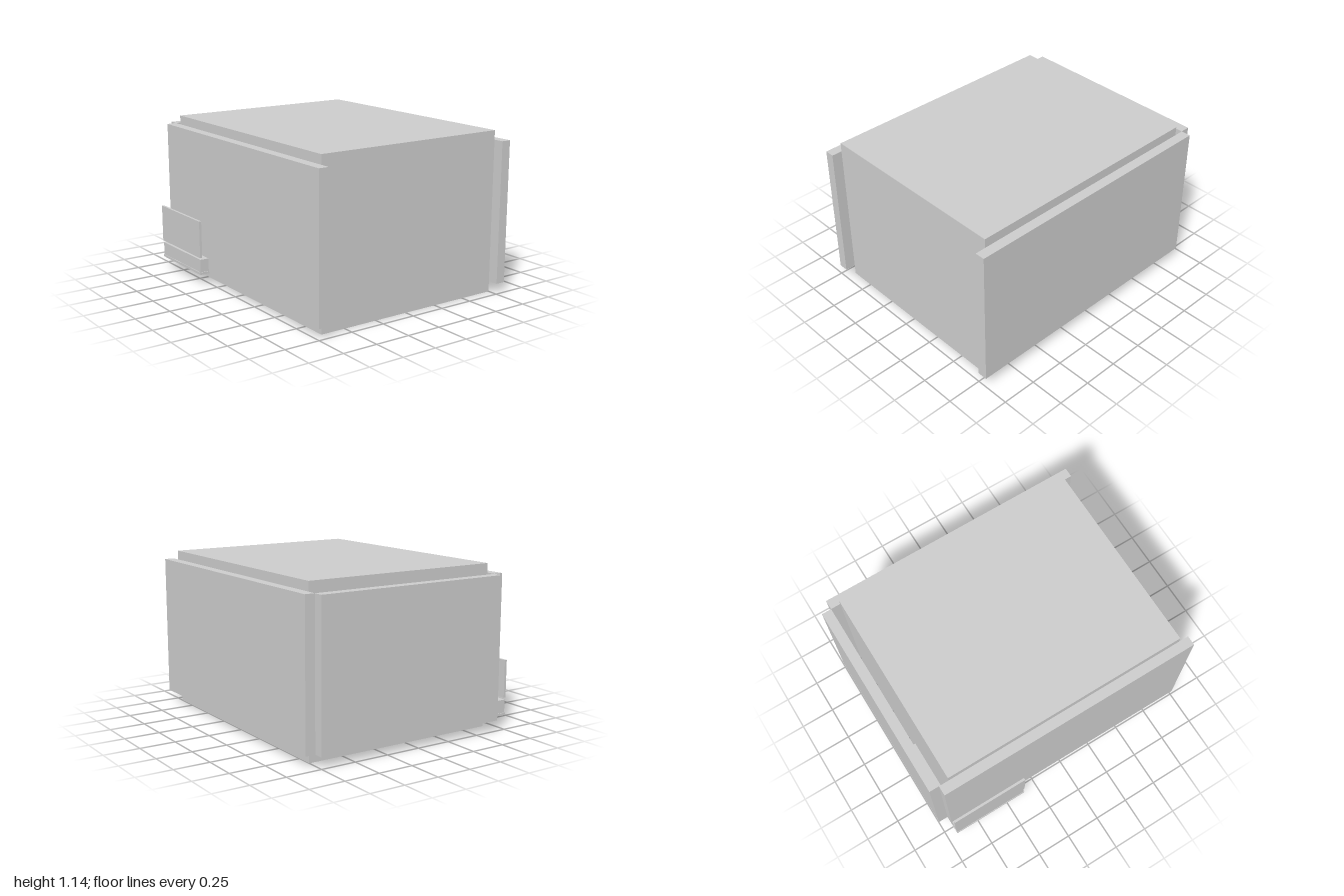
import * as THREE from 'three';

export function createModel() {
  const model = new THREE.Group();
  model.name = 'panelledBox';

  const grey = new THREE.MeshStandardMaterial({ color: 0xcccccc });
  grey.name = 'light grey';

  // Box given by its limits along each axis
  function block(parent, name, [x0, x1], [y0, y1], [z0, z1]) {
    const mesh = new THREE.Mesh(new THREE.BoxGeometry(x1 - x0, y1 - y0, z1 - z0), grey);
    mesh.position.set((x0 + x1) / 2, (y0 + y1) / 2, (z0 + z1) / 2);
    mesh.name = name;
    parent.add(mesh);
  }

  // Main body
  block(model, 'body', [-0.86, 0.925], [0, 1.14], [-0.75, 0.68]);

  // Offset wall panels
  const wall = [0.075, 1.075];
  block(model, 'frontPanel', [-0.93, 1], wall, [0.68, 0.75]);
  block(model, 'backPanel', [-0.93, 1], wall, [-0.82, -0.75]);
  block(model, 'sidePanel', [-1, -0.93], wall, [-0.75, 0.68]);

  // Ledge with a lip and a thin plate above; x runs along it, z points outward
  function ledge(name) {
    const group = new THREE.Group();
    group.name = name;
    block(group, 'ledgeLip', [0, 0.57], [0.075, 0.092], [0, 0.07]);
    block(group, 'ledgeBlock', [0.004, 0.564], [0.092, 0.185], [0, 0.066]);
    block(group, 'ledgePlate', [0, 0.57], [0.2, 0.467], [0.053, 0.07]);
    model.add(group);
    return group;
  }

  // One on the front, one in the gap behind the side panel
  ledge('frontLedge').position.set(-0.93, 0, 0.75);
  const sideLedge = ledge('sideLedge');
  sideLedge.rotation.y = -Math.PI / 2;
  sideLedge.position.set(-0.86, 0, 0.108);

  return model;
}
